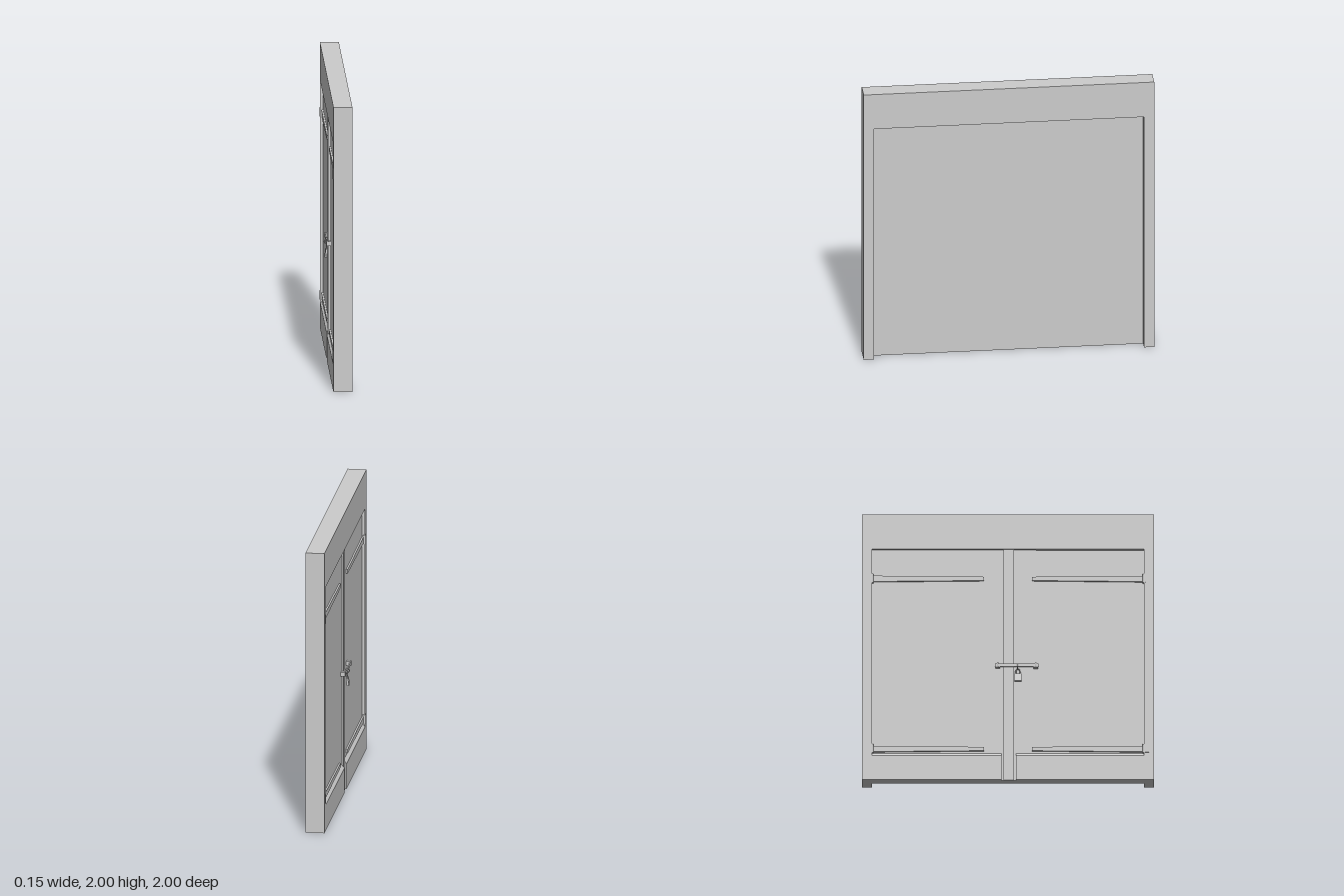
import * as THREE from 'three';

export function createModel() {
  const model = new THREE.Group();
  const grey = new THREE.MeshStandardMaterial({ color: 0xcccccc, flatShading: true });
  const smooth = new THREE.MeshStandardMaterial({ color: 0xcccccc });

  function add(name, geometry, material = grey, parent = model) {
    const mesh = new THREE.Mesh(geometry, material);
    mesh.name = name;
    parent.add(mesh);
    return mesh;
  }
  // Box given by its lower and upper limits
  function box(name, x0, x1, y0, y1, z0, z1) {
    const mesh = add(name, new THREE.BoxGeometry(x1 - x0, y1 - y0, z1 - z0));
    mesh.position.set((x0 + x1) / 2, (y0 + y1) / 2, (z0 + z1) / 2);
    return mesh;
  }
  const outline = (pts) => new THREE.Shape(pts.map(([a, b]) => new THREE.Vector2(a, b)));
  // Outline drawn in (z, y), given thickness from x0 to x1
  function plate(name, pts, x0, x1) {
    const g = new THREE.ExtrudeGeometry(outline(pts), { depth: x1 - x0, bevelEnabled: false });
    g.rotateY(-Math.PI / 2);
    g.translate(x1, 0, 0);
    return add(name, g);
  }

  // Surrounding wall with the doorway cut out
  plate('frame', [[-1, 0], [-0.93, 0], [-0.93, 1.74], [0.93, 1.74], [0.93, 0],
    [1, 0], [1, 2], [-1, 2]], -0.055, 0.075);

  // Two door leaves and the cover strip where they meet
  const face = -0.035;
  box('rightLeaf', face, 0.012, 0, 1.74, -0.93, 0);
  box('leftLeaf', face, 0.012, 0, 1.74, 0, 0.93);
  box('coverStrip', -0.046, face, 0, 1.74, -0.03, 0.04);

  // Weatherboards with a sloping top edge
  const boardProfile = outline([[face, 0], [face, 0.205], [-0.055, 0.18], [-0.055, 0]]);
  for (const [z0, z1] of [[-0.93, -0.045], [0.055, 0.93]]) {
    const g = new THREE.ExtrudeGeometry(boardProfile, { depth: z1 - z0, bevelEnabled: false });
    add('weatherboard', g).position.z = z0;
  }

  // Tapering strap hinges, each with a knuckle at the jamb
  for (const s of [-1, 1]) {
    for (const y of [0.235, 1.52]) {
      plate('hingeStrap', [[s * 0.93, y - 0.022], [s * 0.165, y - 0.014],
        [s * 0.165, y + 0.014], [s * 0.93, y + 0.022]], -0.047, face);
      const knuckle = add('hingeKnuckle', new THREE.CylinderGeometry(0.012, 0.012, 0.066, 12), smooth);
      knuckle.position.set(-0.046, y, s * 0.932);
      const z = [s * 0.932, s * 0.965].sort((a, b) => a - b);
      box('hingePlate', -0.058, -0.05, y - 0.03, y + 0.03, z[0], z[1]);
    }
  }

  // Locking bar across the joint, on two small brackets
  box('hasp', -0.066, -0.058, 0.848, 0.872, -0.09, 0.21);
  for (const z of [-0.07, 0.19]) {
    box('haspBracket', -0.062, face, 0.845, 0.875, z - 0.015, z + 0.015);
    const pin = add('haspPin', new THREE.CylinderGeometry(0.007, 0.007, 0.034, 10), smooth);
    pin.position.set(-0.061, 0.86, z);
  }

  // Staple through the bar, with the padlock hanging from it
  const staple = add('staple', new THREE.TorusGeometry(0.014, 0.004, 8, 20), smooth);
  staple.position.set(-0.06, 0.845, 0.065);
  const padlock = new THREE.Group();
  padlock.name = 'padlock';
  const path = new THREE.CatmullRomCurve3([[0, -0.045, -0.014], [0, -0.015, -0.014],
    [0, 0, 0], [0, -0.015, 0.014], [0, -0.045, 0.014]].map((p) => new THREE.Vector3(...p)));
  add('shackle', new THREE.TubeGeometry(path, 24, 0.004, 8), smooth, padlock);
  const body = add('padlockBody', new THREE.BoxGeometry(0.014, 0.055, 0.046), grey, padlock);
  body.position.y = -0.068;
  padlock.position.set(-0.054, 0.833, 0.068);
  padlock.rotation.z = -0.12;
  model.add(padlock);

  return model;
}
